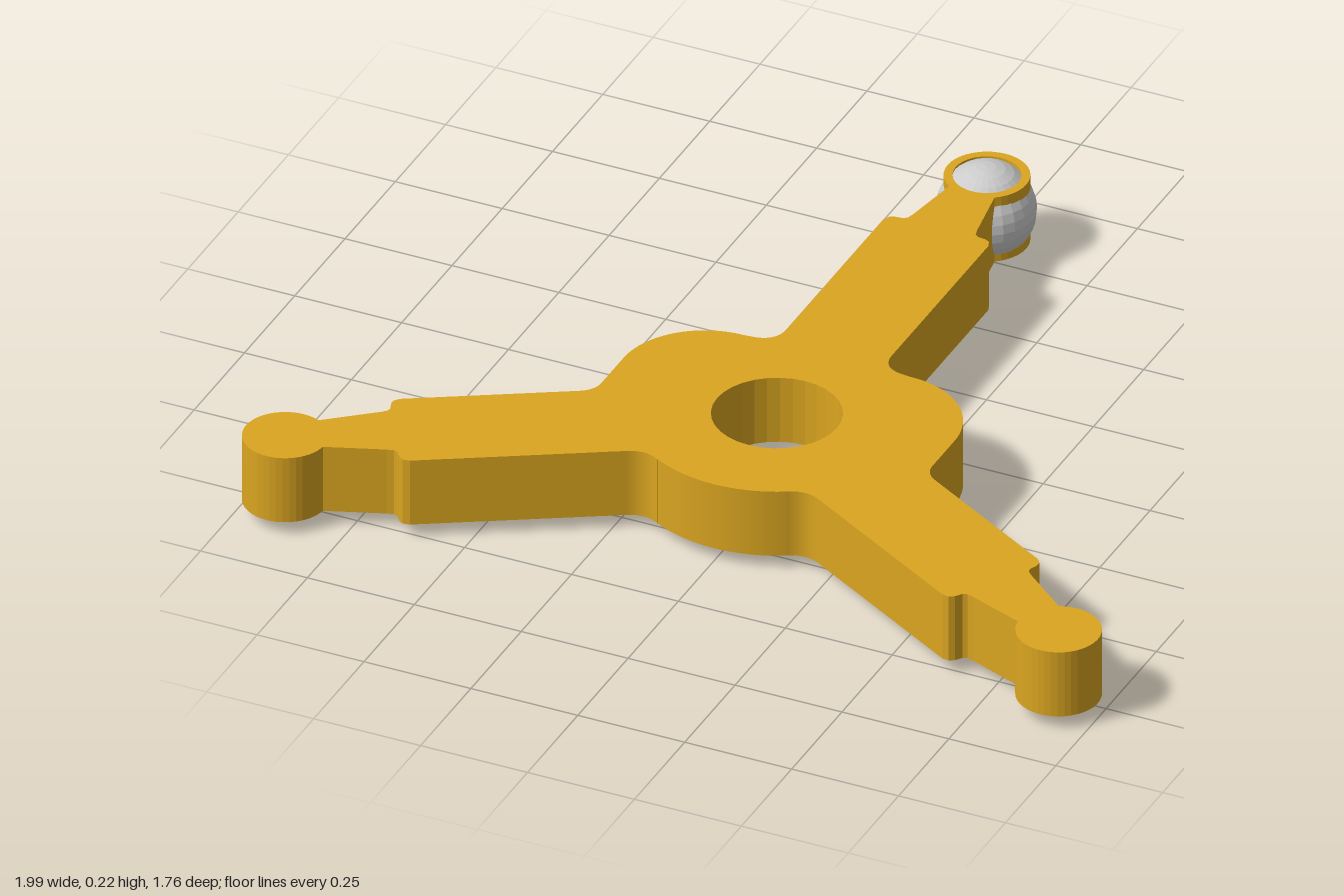
import * as THREE from 'three';

const HUB_Z = 0.26;      // hub axis position
const ARM_W = 0.123;     // arm half width
const TIP = 1.044;       // hub axis to tip disc centre
const TIP_R = 0.092;
const BALL_R = 0.108;

export function createModel() {
  const group = new THREE.Group();
  const gold = new THREE.MeshStandardMaterial({ color: 0xdaa520 });
  const steel = new THREE.MeshStandardMaterial({ color: 0xcccccc, flatShading: true });

  const shape = new THREE.Shape();

  // One arm: shoulder, stepped neck, round tip, and back along the other side
  const addArm = (angle, dIn, dOut, first) => {
    const c = Math.cos(angle), s = Math.sin(angle);
    const at = (d, w) => [c * d - s * w, s * d + c * w];
    const side = [[0.79, ARM_W], [0.805, 0.117], [0.811, 0.105], [0.813, 0.087], [0.82, 0.079], [0.835, 0.075]];
    if (first) shape.moveTo(...at(dIn, -ARM_W));
    side.forEach(([d, w]) => shape.lineTo(...at(d, -w)));
    const sweep = Math.PI - 0.614;
    shape.absarc(...at(TIP, 0), TIP_R, angle - sweep, angle + sweep, false);
    side.slice().reverse().forEach(([d, w]) => shape.lineTo(...at(d, w)));
    shape.lineTo(...at(dOut, ARM_W));
  };

  const rad = THREE.MathUtils.degToRad;
  // Right front arm, then the rounded hub shoulder
  addArm(rad(-30), 0.33, 0.41, true);
  shape.quadraticCurveTo(0.387, -0.081, 0.387, -0.05);
  shape.absarc(0.197, 0.06, 0.19, 0, Math.PI / 2, false);
  shape.lineTo(0.175, 0.252);
  shape.quadraticCurveTo(0.123, 0.258, ARM_W, 0.31);
  // Back arm, then the mirrored shoulder
  addArm(rad(90), 0.31, 0.31, false);
  shape.quadraticCurveTo(-0.123, 0.258, -0.175, 0.252);
  shape.absarc(-0.197, 0.06, 0.19, Math.PI / 2, Math.PI, false);
  shape.lineTo(-0.387, -0.05);
  shape.quadraticCurveTo(-0.387, -0.081, -0.4165, -0.0985);
  // Left front arm, then the curved front of the hub
  addArm(rad(210), 0.41, 0.33, false);
  shape.quadraticCurveTo(-0.187, -0.25, -0.15, -0.274);
  shape.absarc(0, 0, 0.312, -Math.PI / 2 - 0.501, -Math.PI / 2 + 0.501, false);
  shape.quadraticCurveTo(0.187, -0.25, 0.2243, -0.2715);

  // Centre bore and the seat for the ball
  [[0, 0.14], [TIP, 0.073]].forEach(([y, r]) =>
    shape.holes.push(new THREE.Path().absarc(0, y, r, 0, Math.PI * 2, true)));

  const bodyGeo = new THREE.ExtrudeGeometry(shape, { depth: 0.16, bevelEnabled: false, curveSegments: 16 });
  bodyGeo.rotateX(-Math.PI / 2);
  const body = new THREE.Mesh(bodyGeo, gold);
  body.name = 'threeArmBody';
  body.position.set(0, 0.031, HUB_Z);
  group.add(body);

  // Ball held in the back tip
  const ball = new THREE.Mesh(new THREE.SphereGeometry(BALL_R, 24, 16), steel);
  ball.name = 'tipBall';
  ball.position.set(0, BALL_R, HUB_Z - 1.04);
  group.add(ball);

  return group;
}
